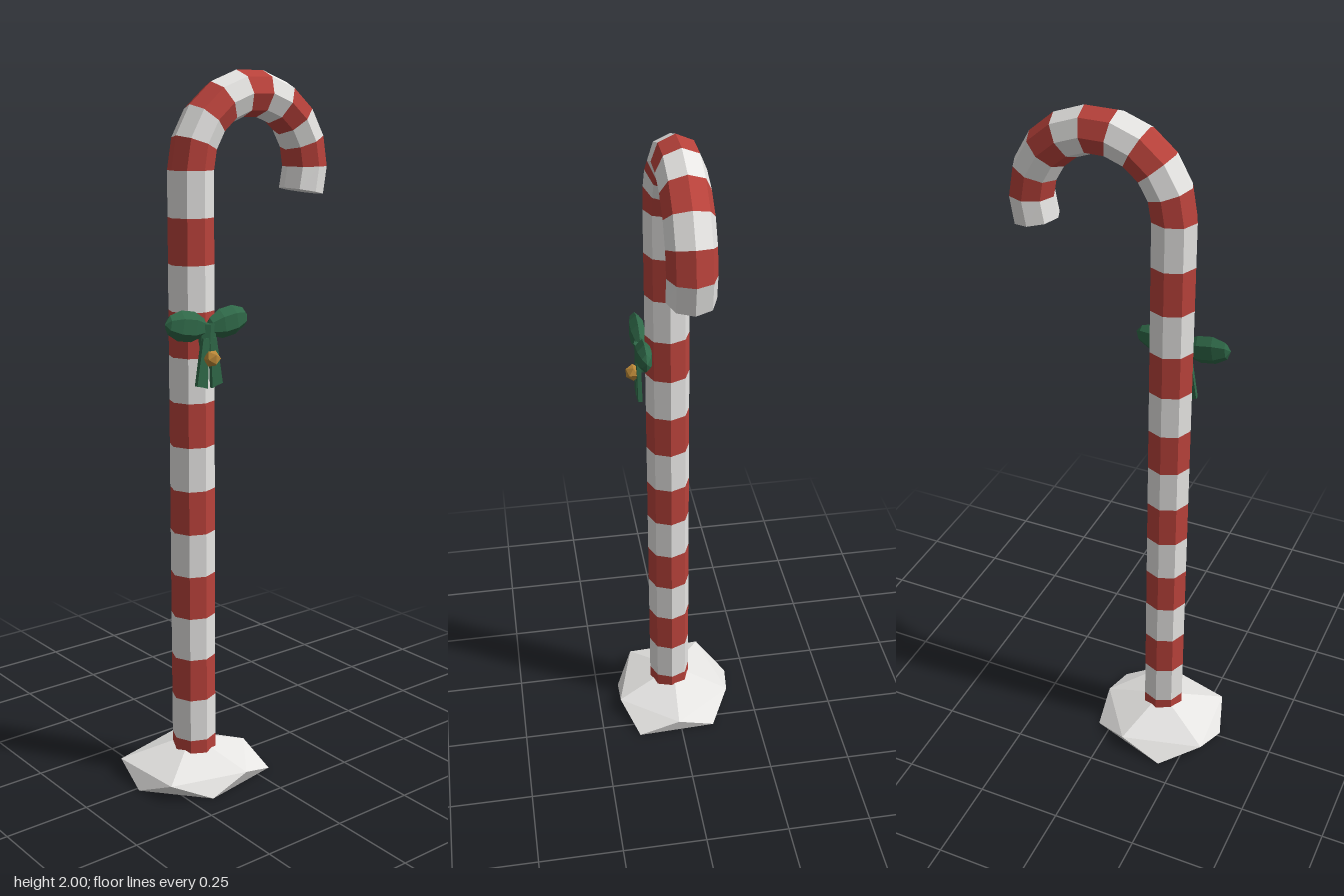
import * as THREE from 'three';
import { ConvexGeometry } from 'three/addons/geometries/ConvexGeometry.js';

const CX = -0.133, CZ = 0.013, R = 0.063; // pole axis and radius
const HOOK = { x: 0.067, y: 1.742, r: 0.2 }; // hook arc

function colour(name, hex) {
  const m = new THREE.MeshStandardMaterial({ color: hex });
  m.name = name;
  return m;
}

// faceted normals
function facet(geometry) {
  const g = geometry.index ? geometry.toNonIndexed() : geometry;
  g.computeVertexNormals();
  return g;
}

function add(group, name, geometry, material) {
  const mesh = new THREE.Mesh(facet(geometry), material);
  mesh.name = name;
  group.add(mesh);
  return mesh;
}

// eight-sided ring k of the hook, one every 20 degrees
function hookRing(k) {
  const a = THREE.MathUtils.degToRad(180 - 20 * k);
  const tilt = k === 10 ? THREE.MathUtils.degToRad(-10) : a; // end is square to the last segment
  const ring = [];
  for (let j = 0; j <= 8; j++) {
    const p = (j * Math.PI) / 4, c = R * Math.cos(p);
    ring.push([
      HOOK.x + HOOK.r * Math.cos(a) + c * Math.cos(tilt),
      HOOK.y + HOOK.r * Math.sin(a) + c * Math.sin(tilt),
      CZ + R * Math.sin(p),
    ]);
  }
  return ring;
}

function triangles(list) {
  const g = new THREE.BufferGeometry();
  g.setAttribute('position', new THREE.Float32BufferAttribute(list.flat(), 3));
  return g;
}

export function createModel() {
  const model = new THREE.Group();
  model.name = 'candyCane';
  const white = colour('white', 0xe6e5e3);
  const red = colour('red', 0xb9423b);
  const green = colour('green', 0x2f6848);
  const gold = colour('gold', 0xb98737);

  // snow mound: apex, raised rim points and ground points
  const mound = [
    [CX, 0.113, 0],
    [-0.2, 0, -0.187], [-0.07, 0.044, -0.168], [0.04, 0, -0.104], [0.055, 0.044, 0.01],
    [0.05, 0, 0.136], [-0.073, 0.046, 0.184], [-0.19, 0, 0.18], [-0.295, 0.047, 0.123],
    [-0.33, 0, 0.013], [-0.31, 0.045, -0.108],
  ].map((p) => new THREE.Vector3(...p));
  add(model, 'snowBase', new ConvexGeometry(mound), white);

  // straight pole in alternating bands
  const pole = new THREE.Group();
  pole.name = 'pole';
  model.add(pole);
  for (let i = 0; i < 14; i++) {
    const y0 = i === 0 ? 0.004 : i * 0.1245, y1 = i === 13 ? HOOK.y : (i + 1) * 0.1245;
    const band = new THREE.CylinderGeometry(R, R, y1 - y0, 8, 1, true);
    band.translate(CX, (y0 + y1) / 2, CZ);
    add(pole, 'poleBand', band, i % 2 ? white : red);
  }

  // curved hook in alternating bands
  const hook = new THREE.Group();
  hook.name = 'hook';
  model.add(hook);
  for (let k = 0; k < 10; k++) {
    const a = hookRing(k), b = hookRing(k + 1), tris = [];
    for (let j = 0; j < 8; j++) {
      tris.push(...a[j], ...a[j + 1], ...b[j + 1], ...a[j], ...b[j + 1], ...b[j]);
      if (k === 9 && j > 0 && j < 7) tris.push(...b[0], ...b[j], ...b[j + 1]); // end cap
    }
    add(hook, 'hookBand', triangles(tris), k % 2 ? white : red);
  }

  // bow
  const bow = new THREE.Group();
  bow.name = 'bow';
  bow.position.set(-0.137, 1.335, 0.088);
  model.add(bow);
  for (const s of [-1, 1]) {
    const loop = new THREE.SphereGeometry(1, 6, 5);
    loop.rotateZ(Math.PI / 2);
    loop.scale(0.07, 0.043, 0.024);
    loop.rotateZ(s * 0.16);
    loop.translate(s * 0.069, 0.006, 0);
    add(bow, 'bowLoop', loop, green);

    const tail = new THREE.Shape([
      new THREE.Vector2(s * 0.002, -0.03), new THREE.Vector2(s * 0.022, -0.03),
      new THREE.Vector2(s * 0.043, -0.158), new THREE.Vector2(s * 0.025, -0.162),
      new THREE.Vector2(s * 0.008, -0.168),
    ]);
    const strip = new THREE.ExtrudeGeometry(tail, { depth: 0.012, bevelEnabled: false });
    strip.translate(0, 0, 0.002);
    add(bow, 'bowTail', strip, green);
  }
  // knot narrowing downward
  const knot = new THREE.CylinderGeometry(0.034, 0.02, 0.085, 6);
  knot.scale(1, 1, 0.55);
  knot.translate(0, -0.035, 0);
  add(bow, 'bowKnot', knot, green);

  // small bell
  const bell = new THREE.IcosahedronGeometry(0.024, 0);
  bell.translate(0, -0.085, 0.022);
  add(bow, 'bell', bell, gold);

  return model;
}
